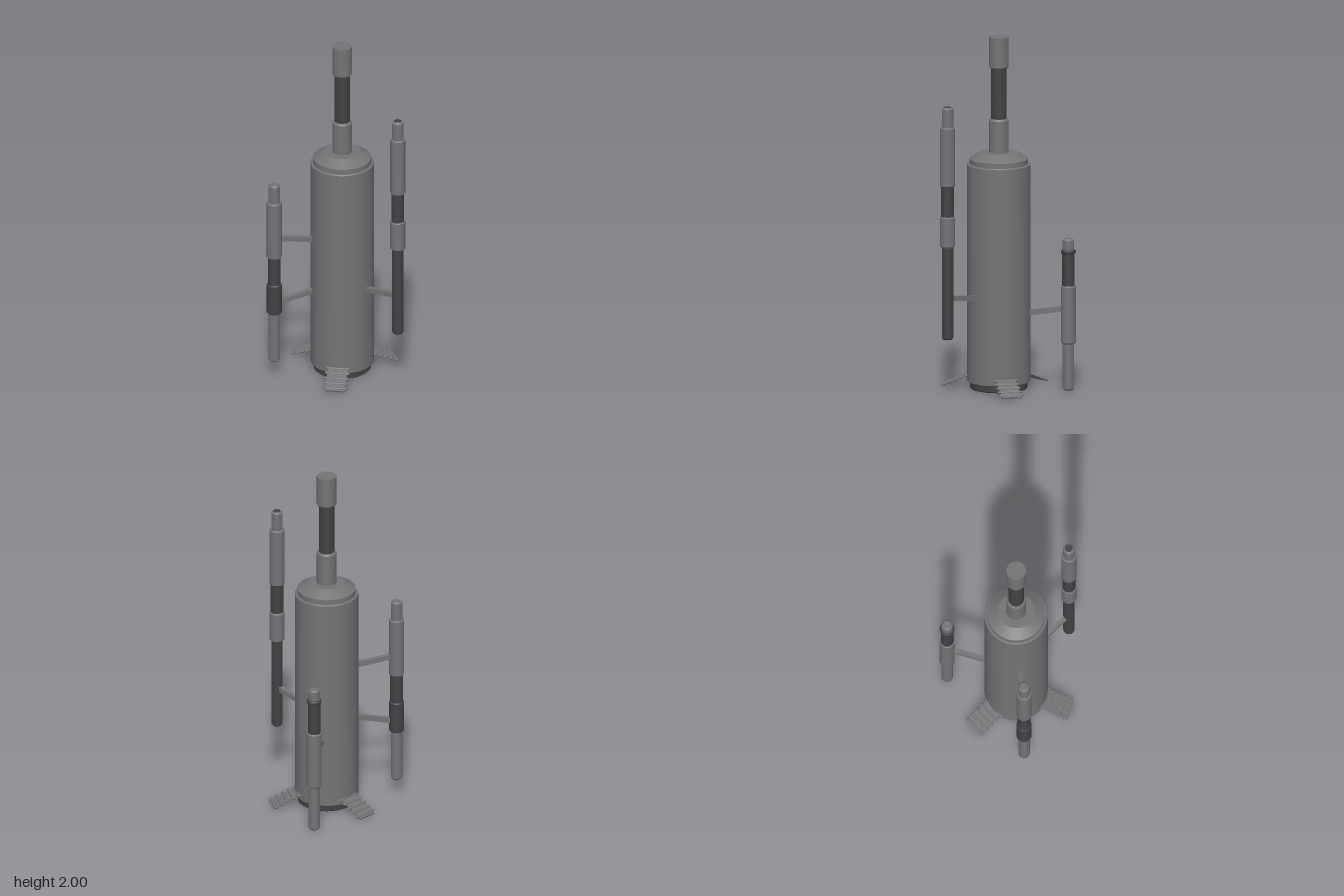
import * as THREE from 'three';
import { toCreasedNormals } from 'three/addons/utils/BufferGeometryUtils.js';

const CENTRE_X = -0.057;

function paint(name, color) {
  const m = new THREE.MeshStandardMaterial({ color });
  m.name = name;
  return m;
}

export function createModel() {
  const grey = paint('grey metal', 0x757376);
  const dark = paint('dark metal', 0x434244);
  const model = new THREE.Group();
  model.name = 'towerStation';

  function add(parent, name, geometry, material) {
    const mesh = new THREE.Mesh(geometry, material);
    mesh.name = name;
    parent.add(mesh);
    return mesh;
  }

  // Turned solid from [radius, height] pairs, bottom to top, with crisp edges
  function turned(profile, sides = 40) {
    const pts = profile.map(([r, y]) => new THREE.Vector2(r, y));
    return toCreasedNormals(new THREE.LatheGeometry(pts, sides), 0.5);
  }

  // Closed cylinder with a small bevel at each end
  function bevelled(r, y0, y1, b = 0.006) {
    return turned([[0, y0], [r - b, y0], [r, y0 + b], [r, y1 - b], [r - b, y1], [0, y1]]);
  }

  // Central tower
  const tower = new THREE.Group();
  tower.name = 'tower';
  tower.position.x = CENTRE_X;
  model.add(tower);
  add(tower, 'base', turned([[0, 0], [0.155, 0], [0.16, 0.005], [0.16, 0.045], [0, 0.045]], 64), dark);
  add(tower, 'hull', turned([[0, 0.038], [0.171, 0.038], [0.177, 0.044], [0.177, 1.275],
    [0.172, 1.28], [0, 1.28]], 64), grey);
  add(tower, 'shoulder', turned([[0.163, 1.27], [0.163, 1.308], [0.103, 1.345], [0, 1.345]], 64), grey);
  add(tower, 'lowerMast', turned([[0.055, 1.34], [0.055, 1.525], [0.048, 1.535], [0, 1.535]]), grey);
  add(tower, 'mastNeck', turned([[0.043, 1.53], [0.043, 1.83]]), dark);
  add(tower, 'mastHead', turned([[0, 1.822], [0.049, 1.822], [0.055, 1.83], [0.055, 2], [0, 2]]), grey);

  // Side pods: sections are [radius, bottom, top, material, bevel];
  // struts are [height at the hull, height at the pod]
  const pods = [
    {
      name: 'leftPod', x: 0.335, z: 0, tip: dark,
      sections: [
        [0.032, 0.33, 0.86, dark, 0.008], [0.042, 0.855, 1.03, grey], [0.036, 1.02, 1.21, dark],
        [0.042, 1.2, 1.54, grey], [0.032, 1.53, 1.652, grey, 0.01],
      ],
      struts: [[0.532, 0.565]],
    },
    {
      name: 'frontPod', x: -0.285, z: 0.325, tip: grey,
      sections: [
        [0.032, 0.1, 0.4, grey, 0.008], [0.042, 0.395, 0.577, dark], [0.036, 0.57, 0.75, dark],
        [0.042, 0.74, 1.085, grey], [0.032, 1.075, 1.196, grey, 0.01],
      ],
      struts: [[0.82, 0.86], [0.502, 0.455]],
    },
    {
      name: 'backPod', x: -0.285, z: -0.325, tip: grey,
      sections: [
        [0.032, 0.005, 0.28, grey, 0.008], [0.042, 0.27, 0.6, grey], [0.035, 0.59, 0.79, dark],
        [0.042, 0.782, 0.804, dark], [0.032, 0.795, 0.867, grey, 0.01],
      ],
      struts: [[0.435, 0.47]],
    },
  ];

  for (const pod of pods) {
    const group = new THREE.Group();
    group.name = pod.name;
    group.position.set(pod.x, 0, pod.z);
    model.add(group);
    pod.sections.forEach(([r, y0, y1, material, b], i) =>
      add(group, 'podSection' + (i + 1), bevelled(r, y0, y1, b), material));

    // Thin disc on the pod's tip
    const top = pod.sections[4][2];
    const disc = add(group, 'tipDisc', new THREE.CylinderGeometry(0.021, 0.021, 0.002, 32), pod.tip);
    disc.position.y = top;

    // Struts reach from inside the hull to the pod's axis
    for (const [yHull, yPod] of pod.struts) {
      const outer = new THREE.Vector3(pod.x, yPod, pod.z);
      const inner = new THREE.Vector3(
        THREE.MathUtils.lerp(CENTRE_X, pod.x, 0.4), yHull, pod.z * 0.4);
      const strut = add(model, pod.name + 'Strut',
        new THREE.BoxGeometry(0.026, 0.028, inner.distanceTo(outer)), grey);
      strut.position.copy(inner).add(outer).multiplyScalar(0.5);
      strut.lookAt(outer);
    }
  }

  // Three sloping ribbed feet
  [60, 180, 300].forEach((degrees) => {
    const foot = new THREE.Group();
    foot.name = 'foot';
    foot.position.x = CENTRE_X;
    foot.rotation.y = THREE.MathUtils.degToRad(degrees);
    model.add(foot);

    const plate = add(foot, 'footPlate', new THREE.BoxGeometry(0.185, 0.008, 0.11), grey);
    plate.position.set(0.238, 0.041, 0);
    plate.rotation.z = -0.41;

    for (let i = 0; i < 5; i++) {
      const geometry = new THREE.CapsuleGeometry(0.01, 0.12, 6, 14);
      geometry.rotateX(Math.PI / 2);
      geometry.scale(1, 0.75, 1);
      const rib = add(foot, 'footRib', geometry, grey);
      rib.position.set(0.305 - i * 0.0335, 0.014 + i * 0.0145, 0);
    }
  });

  return model;
}
